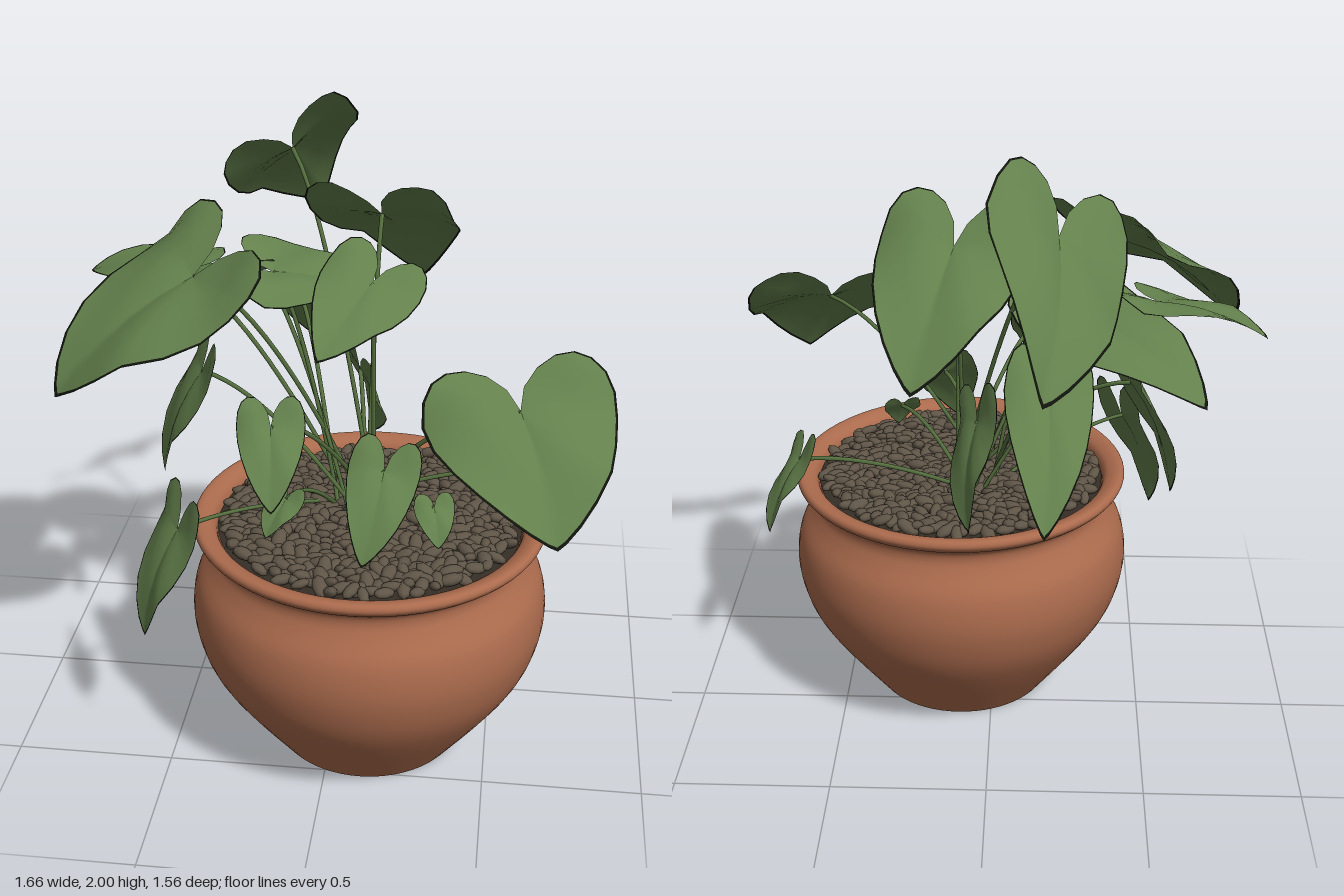
import * as THREE from 'three';
import { mergeGeometries } from 'three/addons/utils/BufferGeometryUtils.js';

const mat = (name, color, side = THREE.FrontSide) => {
  const m = new THREE.MeshStandardMaterial({ color, side });
  m.name = name;
  return m;
};

let seed = 7;
const rand = () => {
  seed = (seed * 16807) % 2147483647;
  return seed / 2147483647;
};

// Heart outline by rule: t runs from -1 (notch) over 0 (tip) to 1 (notch)
const heart = (t) => [
  0.32 + 0.68 * Math.cos(4.2 * t),
  Math.sign(t) * Math.abs(Math.sin(Math.PI * t)) ** 1.6,
];

// Heart-shaped blade from stalk joint to tip, rolled about its midrib;
// the last ring is a narrow dark margin in its own material group
function leafGeometry(joint, tip, width, roll) {
  const dir = tip.clone().sub(joint), len = dir.length(), wid = width / 2;
  const level = new THREE.Vector3(-dir.z, 0, dir.x).normalize();
  const across = level.applyAxisAngle(dir.clone().normalize(), -roll);
  const normal = across.clone().cross(dir).normalize();
  const scales = [0, 0.2, 0.4, 0.6, 0.8, 0.975, 1], sides = 28, pos = [], idx = [];
  let bladeEnd = 0;
  for (const s of scales) {
    for (let i = 0; i <= sides; i++) {
      const [u, v] = heart(2 * i / sides - 1).map((c) => c * s);
      // arched along the midrib, with a valley at the midrib and wavy drooping margins
      const h = len * 0.3 * Math.max(u, 0) * (1 - u)
        + wid * Math.abs(v) * (0.28 - 0.32 * Math.abs(v) + 0.08 * Math.sin(u * 7 + v * 4));
      const p = joint.clone().addScaledVector(dir, u).addScaledVector(across, v * wid).addScaledVector(normal, h);
      pos.push(p.x, p.y, p.z);
    }
  }
  for (let r = 0; r < scales.length - 1; r++) {
    bladeEnd = idx.length;
    for (let i = 0; i < sides; i++) {
      const a = r * (sides + 1) + i, c = a + sides + 1;
      if (r > 0) idx.push(a, a + 1, c);
      idx.push(a + 1, c + 1, c);
    }
  }
  const g = new THREE.BufferGeometry();
  g.setAttribute('position', new THREE.Float32BufferAttribute(pos, 3));
  g.setIndex(idx);
  g.addGroup(0, bladeEnd, 0);
  g.addGroup(bladeEnd, idx.length - bladeEnd, 1);
  g.computeVertexNormals();
  return g;
}

export function createModel() {
  const model = new THREE.Group();
  const terracotta = mat('terracotta', 0xab6b4d, THREE.DoubleSide);
  const pebbleBrown = mat('pebble brown', 0x5f5547);
  const soilBrown = mat('soil brown', 0x352e26);
  const leafGreen = mat('leaf green', 0x63804c, THREE.DoubleSide);
  const marginDark = mat('leaf margin dark', 0x10140c, THREE.DoubleSide);
  const stemGreen = mat('stem green', 0x56703f);
  const add = (parent, name, geo, material) => {
    const mesh = new THREE.Mesh(geo, material);
    mesh.name = name;
    parent.add(mesh);
    return mesh;
  };
  const group = (name) => {
    const g = new THREE.Group();
    g.name = name;
    model.add(g);
    return g;
  };

  // Pot: bulging body with a flared rolled rim, and a recessed foot
  const pot = group('pot');
  pot.position.set(0.11, 0, 0.22);
  const points = (list) => list.map(([x, y]) => new THREE.Vector2(x, y));
  const profile = new THREE.SplineCurve(points([[0.3, 0], [0.44, 0.19], [0.515, 0.31], [0.55, 0.41],
    [0.56, 0.5], [0.545, 0.59], [0.505, 0.66], [0.488, 0.7], [0.495, 0.735], [0.535, 0.763],
    [0.55, 0.785], [0.54, 0.803], [0.51, 0.8], [0.48, 0.775], [0.468, 0.7]]));
  add(pot, 'potBody', new THREE.LatheGeometry(profile.getPoints(60), 64), terracotta);
  add(pot, 'potFoot', new THREE.LatheGeometry(points([[0, 0.03], [0.25, 0.03], [0.28, 0], [0.3, 0]]), 64), terracotta);

  // Soil with a layer of scattered pebbles
  const soil = add(pot, 'soil', new THREE.CircleGeometry(0.475, 48), soilBrown);
  soil.rotation.x = -Math.PI / 2;
  soil.position.y = 0.765;
  const pebbles = [], count = 520, m = new THREE.Matrix4(), q = new THREE.Quaternion();
  for (let i = 0; i < count; i++) {
    const r = 0.455 * Math.sqrt((i + 0.5) / count), a = i * 2.39996;
    q.setFromEuler(new THREE.Euler((rand() - 0.5) * 0.8, rand() * 6.28, (rand() - 0.5) * 0.8));
    const s = 0.9 + rand() * 0.45;
    m.compose(new THREE.Vector3(r * Math.cos(a), 0.775 + rand() * 0.015, r * Math.sin(a)), q,
      new THREE.Vector3(0.032 * s, 0.014 * s, 0.018 * s));
    pebbles.push(new THREE.SphereGeometry(1, 8, 6).applyMatrix4(m));
  }
  add(pot, 'pebbles', mergeGeometries(pebbles), pebbleBrown);

  // A leaf on a thin arching stem that rises from the centre of the pot
  const leaves = group('leaves'), stems = group('stems');
  const growLeaf = (ratio, joint, tip, roll) => {
    const end = new THREE.Vector3(...joint), point = new THREE.Vector3(...tip);
    const i = leaves.children.length + 1;
    const blade = leafGeometry(end, point, ratio * end.distanceTo(point), roll);
    add(leaves, 'leaf' + i, blade, [leafGreen, marginDark]);
    const root = new THREE.Vector3(0.06 + 0.06 * Math.cos(i * 2.4), 0.77, 0.14 + 0.06 * Math.sin(i * 2.4));
    const mid = root.clone().lerp(end, 0.6);
    mid.y = root.y + (end.y - root.y) * 0.85 + 0.04;
    const curve = new THREE.QuadraticBezierCurve3(root, mid, end);
    add(stems, 'stem' + i, new THREE.TubeGeometry(curve, 16, 0.007, 6), stemGreen);
  };

  // Broad leaves: width ratio, stalk joint, tip, roll
  growLeaf(1.4, [0.56, 1.3, 0.48], [0.68, 1.01, 0.74], -0.08);
  growLeaf(1.05, [-0.41, 1.58, 0.27], [-0.8, 1.25, 0.44], 0.22);
  growLeaf(0.95, [0.11, 1.67, -0.08], [0.22, 1.34, -0.43], 0.12);
  growLeaf(1.05, [-0.2, 1.54, 0.1], [0.1, 1.46, 0.06], -0.28);
  growLeaf(0.85, [-0.2, 1.79, -0.33], [-0.16, 1.47, -0.78], 0.66);
  growLeaf(0.8, [-0.27, 1.47, -0.08], [-0.64, 1.28, -0.36], -0.2);
  growLeaf(0.9, [-0.52, 1.48, -0.02], [-0.83, 1.42, -0.15], 0.2);
  growLeaf(0.9, [0.11, 1.56, 0.2], [-0.02, 1.42, 0.48], 0.41);

  // Narrow hanging leaves
  growLeaf(0.6, [-0.18, 1.3, -0.32], [-0.17, 1.0, -0.65], 0.2);
  growLeaf(0.75, [0.04, 1.12, -0.13], [0.06, 0.82, -0.29], -0.91);
  growLeaf(0.65, [-0.44, 1.18, 0.06], [-0.58, 0.8, 0.04], 0.49);
  growLeaf(0.65, [-0.44, 0.86, 0.5], [-0.55, 0.5, 0.54], 0.28);

  // Small young leaves
  growLeaf(0.8, [-0.15, 1.22, 0.5], [-0.13, 1.02, 0.65], 0);
  growLeaf(0.75, [0.17, 1.05, 0.42], [0.12, 0.81, 0.57], 0.42);
  growLeaf(0.9, [0.63, 0.89, 0.06], [0.72, 0.68, -0.06], -0.53);
  growLeaf(1, [0.32, 0.93, 0.4], [0.34, 0.83, 0.47], 0);
  growLeaf(1, [-0.12, 0.95, 0.44], [-0.17, 0.86, 0.52], 0);
  return model;
}
